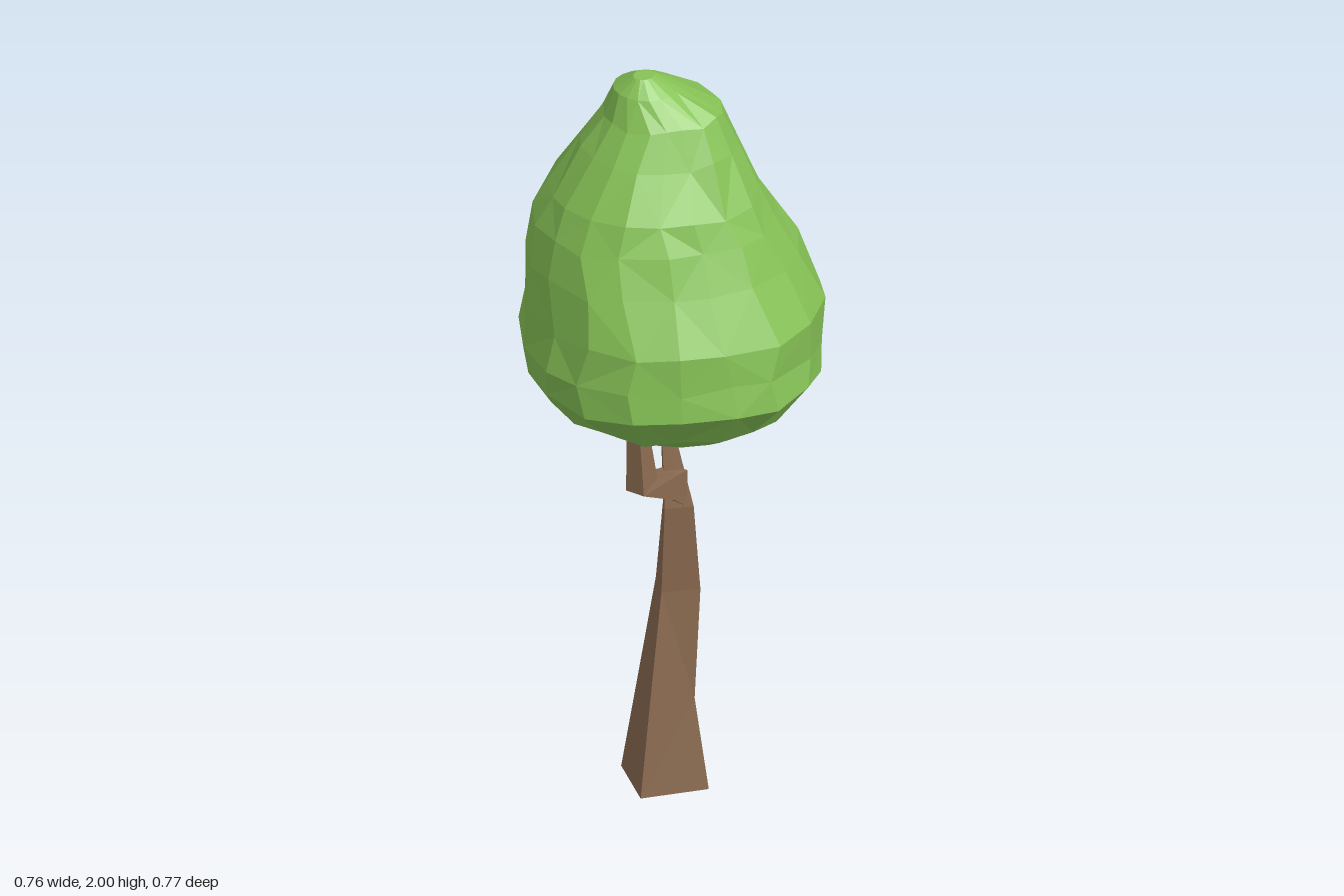
import * as THREE from 'three';

const bark = new THREE.MeshStandardMaterial({ color: 0x8a6a50, flatShading: true });
bark.name = 'bark brown';
const leaf = new THREE.MeshStandardMaterial({ color: 0x86c256, flatShading: true });
leaf.name = 'leaf green';

// Closed skin over a stack of rings, each a loop of [x, y, z] corners
function loft(name, rings, material) {
  const n = rings[0].length, pos = [];
  const tri = (a, b, c) => pos.push(...a, ...b, ...c);
  const middle = (r) => [0, 1, 2].map((k) => r.reduce((s, p) => s + p[k], 0) / n);
  const low = rings[0], high = rings[rings.length - 1];
  const lowMid = middle(low), highMid = middle(high);
  for (let j = 0; j < n; j++) {
    const k = (j + 1) % n;
    for (let i = 0; i < rings.length - 1; i++) {
      const a = rings[i][j], b = rings[i][k], c = rings[i + 1][k], d = rings[i + 1][j];
      if ((i + j) % 2) { tri(a, d, b); tri(d, c, b); }
      else { tri(a, d, c); tri(a, c, b); }
    }
    tri(lowMid, low[j], low[k]);
    tri(highMid, high[k], high[j]);
  }
  const g = new THREE.BufferGeometry();
  g.setAttribute('position', new THREE.Float32BufferAttribute(pos, 3));
  g.computeVertexNormals();
  const mesh = new THREE.Mesh(g, material);
  mesh.name = name;
  return mesh;
}

function seeded(seed) {
  return () => {
    seed = (seed * 16807) % 2147483647;
    return seed / 2147483647;
  };
}

export function createModel() {
  const tree = new THREE.Group();
  tree.name = 'tree';

  // Trunk: y, then the left, front, right and back corners as [x, z]
  const trunk = [
    [0, [0.10, -0.022], [-0.015, 0.12], [-0.155, 0.01], [-0.043, -0.13]],
    [0.25, [0.057, -0.02], [-0.02, 0.08], [-0.115, 0.01], [-0.04, -0.085]],
    [0.55, [0.062, -0.01], [0.005, 0.08], [-0.065, 0.01], [-0.005, -0.05]],
    [0.79, [0.037, 0.01], [-0.01, 0.07], [-0.065, 0.02], [-0.015, -0.02]],
    [0.97, [0.003, 0], [-0.02, 0.024], [-0.047, 0], [-0.02, -0.024]],
    [1.04, [0, 0], [-0.02, 0.02], [-0.042, 0], [-0.02, -0.02]],
  ].map(([y, ...corners]) => corners.map(([x, z]) => [x, y, z]));
  tree.add(loft('trunk', trunk, bark));

  // Side branch: inner edge, outer edge, back z, front z
  const branch = [
    [[-0.015, 0.89], [-0.015, 0.785], 0.0, 0.055],
    [[-0.05, 0.89], [-0.065, 0.825], -0.01, 0.05],
    [[-0.118, 0.908], [-0.176, 0.88], -0.02, 0.035],
    [[-0.134, 1.06], [-0.172, 1.06], -0.02, 0.018],
  ].map(([a, b, z0, z1]) => [[...a, z0], [...a, z1], [...b, z1], [...b, z0]]);
  tree.add(loft('branch', branch, bark));

  // Crown: y, min x, max x, min z, max z of each ring
  const rand = seeded(77), sides = 18;
  const crown = [
    [0.96, -0.03, 0.07, -0.05, 0.04],
    [0.98, -0.08, 0.13, -0.12, 0.10],
    [1.03, -0.18, 0.20, -0.23, 0.20],
    [1.10, -0.30, 0.275, -0.32, 0.305],
    [1.19, -0.375, 0.355, -0.375, 0.388],
    [1.27, -0.38, 0.367, -0.387, 0.368],
    [1.37, -0.37, 0.38, -0.375, 0.37],
    [1.50, -0.345, 0.335, -0.365, 0.31],
    [1.60, -0.315, 0.285, -0.355, 0.262],
    [1.68, -0.28, 0.235, -0.31, 0.225],
    [1.80, -0.205, 0.19, -0.235, 0.16],
    [1.89, -0.15, 0.155, -0.18, 0.115],
    [1.96, -0.115, 0.05, -0.145, 0.025],
    [2.0, -0.08, -0.02, -0.08, -0.03],
  ].map(([y, x0, x1, z0, z1]) => {
    const rough = y > 1.05 && y < 1.92;
    return Array.from({ length: sides }, (_, j) => {
      const a = (j + (rough ? (rand() - 0.5) * 0.35 : 0)) / sides * Math.PI * 2;
      // Small dents, a flattened front-right side and a fuller upper back left
      let r = rough ? 1.025 - rand() * 0.035 : 1;
      if (rough && (j === 6 || j === 7)) r *= y > 1.4 ? 0.88 : 0.95;
      if (rough && y > 1.4 && (j === 5 || j === 8)) r *= 0.96;
      if (y > 1.55 && y < 1.85 && j > 13 && j < 17) r *= 1.04;
      return [
        (x0 + x1) / 2 + Math.cos(a) * r * (x1 - x0) / 2,
        y + (rough ? (rand() - 0.5) * 0.02 : 0),
        (z0 + z1) / 2 + Math.sin(a) * r * (z1 - z0) / 2,
      ];
    });
  });
  tree.add(loft('crown', crown, leaf));
  return tree;
}
